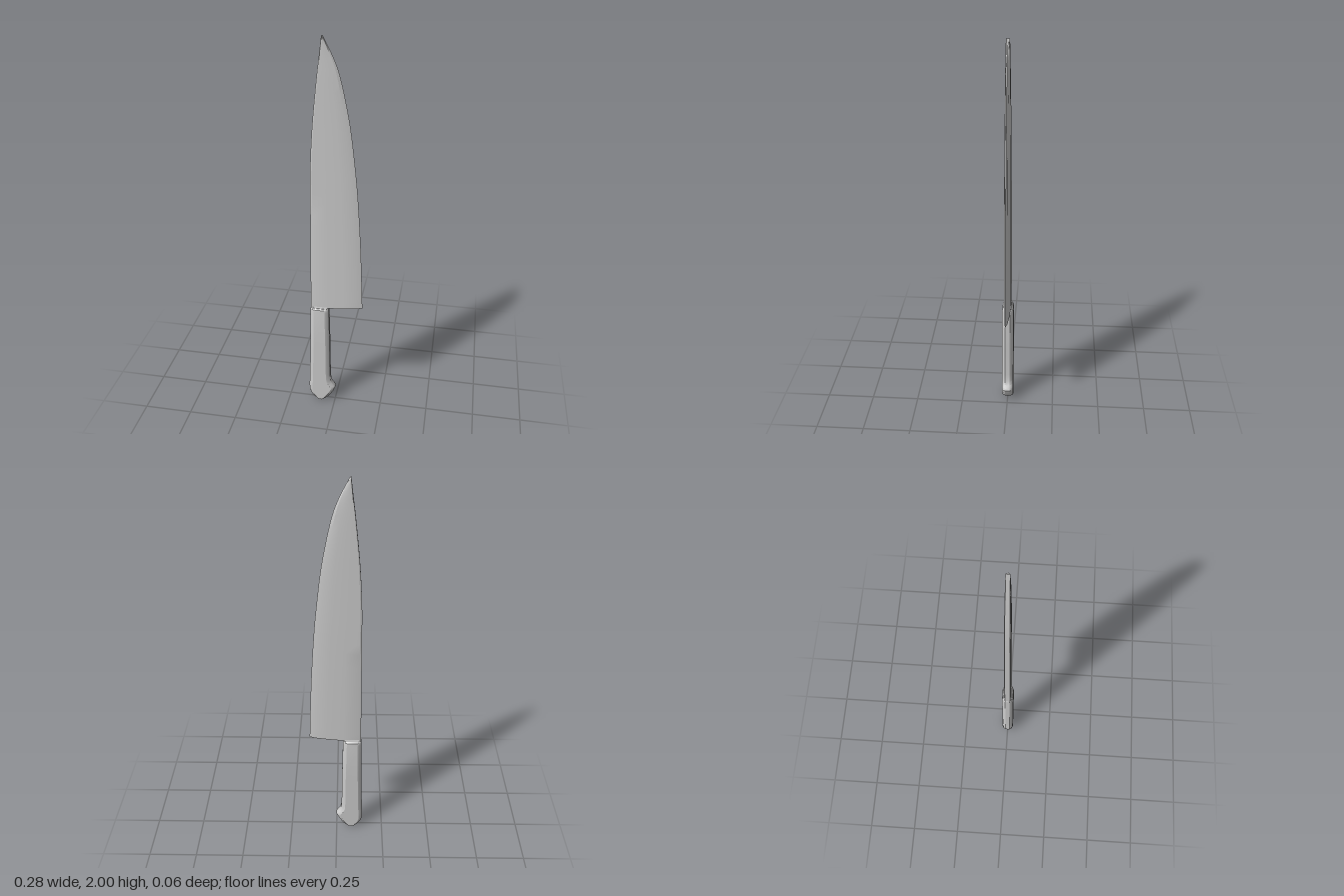
import * as THREE from 'three';
import { toCreasedNormals } from 'three/addons/utils/BufferGeometryUtils.js';

const material = new THREE.MeshStandardMaterial({ color: 0xcccccc });

// Skins a stack of rings (each counter-clockwise seen from above) and caps both ends.
function loft(rings, name, crease) {
  const n = rings[0].length;
  const index = [];
  for (let i = 0; i < rings.length - 1; i++) {
    for (let j = 0; j < n; j++) {
      const k = (j + 1) % n;
      const a = i * n + j, b = i * n + k, c = a + n, d = b + n;
      index.push(a, b, d, a, d, c);
    }
  }
  const top = (rings.length - 1) * n;
  for (let j = 1; j < n - 1; j++) {
    index.push(0, j + 1, j, top, top + j, top + j + 1);
  }
  const geometry = new THREE.BufferGeometry();
  geometry.setAttribute('position', new THREE.Float32BufferAttribute(rings.flat(2), 3));
  geometry.setIndex(index);
  const mesh = new THREE.Mesh(toCreasedNormals(geometry, crease), material);
  mesh.name = name;
  return mesh;
}

// Completes a ring from its +z half, listed from -x to +x.
function mirrorZ(half) {
  const back = half.filter((p) => p[2] > 0).reverse().map(([x, y, z]) => [x, y, -z]);
  return [...half, ...back];
}

function makeBlade() {
  // spine and edge as [x, y] pairs, smoothed into curves
  const curve = (pts) => new THREE.SplineCurve(pts.map(([x, y]) => new THREE.Vector2(x, y)));
  const spine = curve([[-0.125, 0.605], [-0.122, 0.9], [-0.119, 1.2], [-0.116, 1.4],
    [-0.104, 1.6], [-0.084, 1.8], [-0.072, 1.9], [-0.06, 2]]);
  const edge = curve([[0.14, 0.622], [0.127, 0.95], [0.11, 1.22], [0.093, 1.4],
    [0.068, 1.6], [0.028, 1.8], [-0.005, 1.9], [-0.055, 2]]);
  // fraction of the width, fraction of the half thickness
  const section = [[0, 0.82], [0.04, 1], [0.35, 1], [0.65, 0.8], [0.88, 0.52], [1, 0]];
  const rings = [];
  const steps = 28;
  for (let i = 0; i <= steps; i++) {
    const s = spine.getPoint(i / steps), e = edge.getPoint(i / steps);
    const thick = 0.017 - 0.008 * (i / steps) ** 1.5;
    rings.push(mirrorZ(section.map(([u, v]) => [
      THREE.MathUtils.lerp(s.x, e.x, u), THREE.MathUtils.lerp(s.y, e.y, u), thick * v,
    ])));
  }
  return loft(rings, 'blade', 0.3);
}

function makeHandle() {
  // y, back x, front x, half depth
  const levels = [
    [0.004, -0.09, -0.068, 0.028], [0.01, -0.105, -0.053, 0.03], [0.022, -0.121, -0.037, 0.03],
    [0.04, -0.133, -0.023, 0.03], [0.062, -0.14, -0.01, 0.03], [0.088, -0.141, 0.001, 0.03],
    [0.1, -0.141, -0.004, 0.03], [0.115, -0.14, -0.016, 0.03], [0.135, -0.138, -0.024, 0.03],
    [0.18, -0.137, -0.027, 0.03], [0.35, -0.132, -0.028, 0.03], [0.585, -0.128, -0.032, 0.03],
    [0.6, -0.127, -0.033, 0.028], [0.606, -0.125, -0.034, 0.022],
  ];
  const rings = levels.map(([y, x0, x1, d]) => {
    const c = Math.min(0.02, (x1 - x0) * 0.25); // chamfer along the corners
    return mirrorZ([[x0, y, d * 0.4], [x0 + c * 0.35, y, d * 0.75], [x0 + c, y, d],
      [x1 - c, y, d], [x1 - c * 0.35, y, d * 0.75], [x1, y, d * 0.4]]);
  });
  return loft(rings, 'handle', 0.5);
}

// Short neck joining handle and blade
function makeBolster() {
  const levels = [[0.6, -0.125, -0.035, 0.021], [0.612, -0.124, -0.03, 0.018],
    [0.622, -0.123, -0.03, 0.015]];
  const rings = levels.map(([y, x0, x1, d]) => mirrorZ([
    [x0, y, d * 0.6], [x0 + 0.01, y, d], [x1 - 0.01, y, d], [x1, y, d * 0.6]]));
  return loft(rings, 'bolster', 0.5);
}

export function createModel() {
  const knife = new THREE.Group();
  knife.name = 'kitchenKnife';
  knife.add(makeBlade(), makeHandle(), makeBolster());
  return knife;
}
